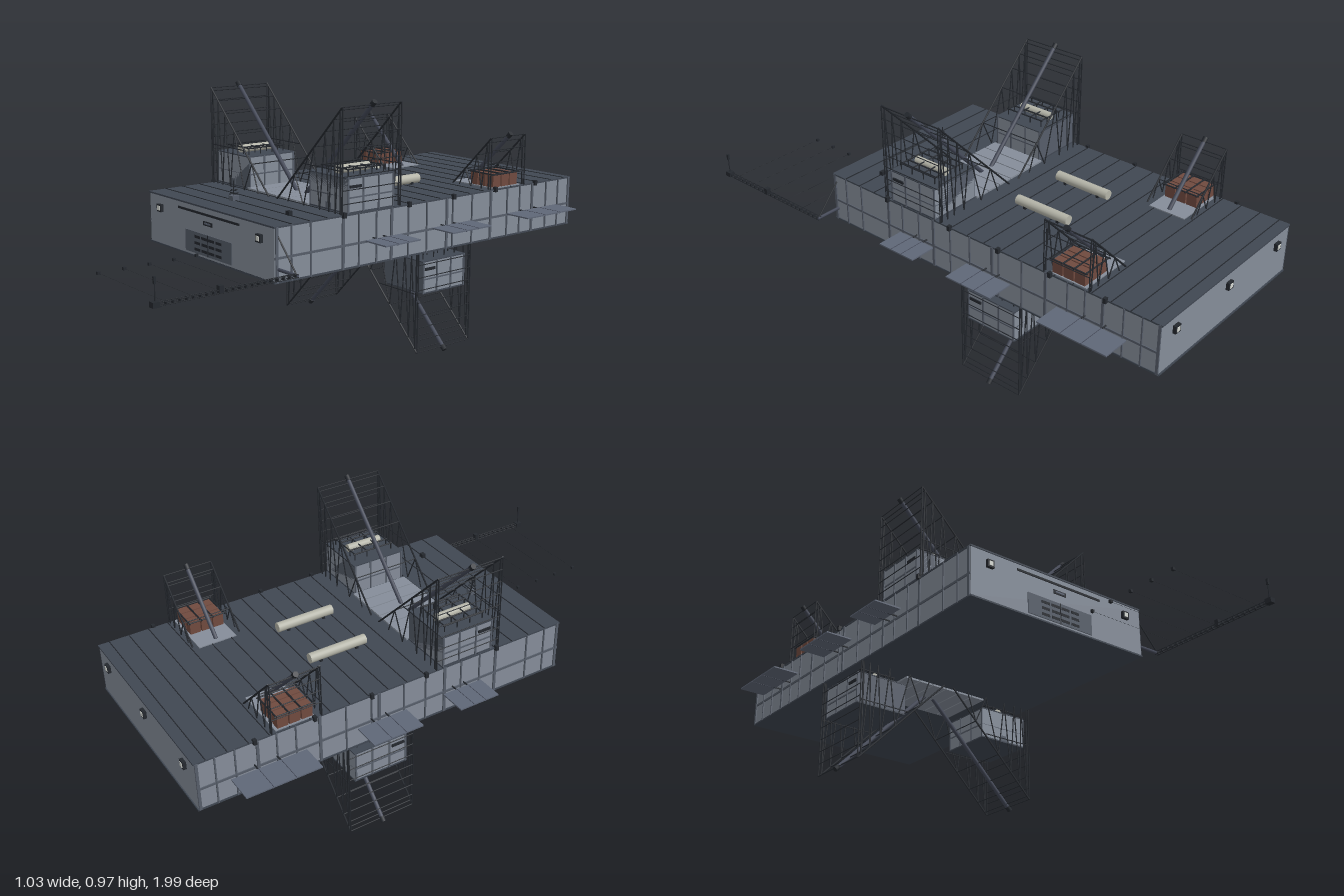
import * as THREE from 'three';

const mat = (name, color, side = THREE.FrontSide) => {
  const m = new THREE.MeshStandardMaterial({ color, side });
  m.name = name;
  return m;
};

export function createModel() {
  const M = {
    hull: mat('hull grey', 0x858d99),
    deck: mat('deck slate', 0x404752),
    frame: mat('frame black', 0x24282e),
    wing: mat('wing blue grey', 0x5f6777),
    mast: mat('mast grey', 0x434857),
    vent: mat('vent grey', 0x565d69),
    tank: mat('tank beige', 0xb4b4a8),
    rust: mat('rust cargo', 0x704a3f),
    lamp: mat('lamp white', 0xd5d8d2),
  };
  const root = new THREE.Group();
  root.name = 'orbitalPlatform';

  const group = (name) => {
    const g = new THREE.Group();
    g.name = name;
    root.add(g);
    return g;
  };
  // Box given by its low and high limits on each axis
  const box = (g, name, m, x0, x1, y0, y1, z0, z1) => {
    const mesh = new THREE.Mesh(new THREE.BoxGeometry(Math.abs(x1 - x0), Math.abs(y1 - y0), Math.abs(z1 - z0)), m);
    mesh.position.set((x0 + x1) / 2, (y0 + y1) / 2, (z0 + z1) / 2);
    mesh.name = name;
    g.add(mesh);
    return mesh;
  };
  // Round bar between two points
  const bar = (g, name, m, a, b, r, sides = 5) => {
    const A = new THREE.Vector3(...a), B = new THREE.Vector3(...b);
    const d = B.clone().sub(A);
    const mesh = new THREE.Mesh(new THREE.CylinderGeometry(r, r, d.length(), sides), m);
    mesh.position.copy(A).add(B).multiplyScalar(0.5);
    mesh.quaternion.setFromUnitVectors(new THREE.Vector3(0, 1, 0), d.normalize());
    mesh.name = name;
    g.add(mesh);
  };

  // Main hull with dark deck and keel plates
  const hull = group('hull');
  box(hull, 'hullBody', M.hull, -0.387, 0.387, 0.394, 0.574, -0.978, 0.478);
  box(hull, 'topDeck', M.deck, -0.39, 0.39, 0.574, 0.58, -0.982, 0.481);
  box(hull, 'keelPlate', M.deck, -0.39, 0.39, 0.388, 0.394, -0.982, 0.481);
  for (let i = 0; i < 19; i++) {
    const z = 0.41 - i * 0.075;
    box(hull, 'deckSeam', M.frame, -0.39, 0.39, 0.58, 0.582, z - 0.0015, z + 0.0015);
  }

  // Ribs, stringers and lugs along both sides
  const ribs = [0.47, 0.41, 0.33, 0.19, 0.12, 0.04, -0.03, -0.11, -0.2, -0.3, -0.33, -0.43, -0.53, -0.62, -0.69, -0.76, -0.84, -0.91, -0.973];
  for (const s of [-1, 1]) {
    ribs.forEach((z, i) => {
      const w = i % 3 === 0 ? 0.005 : 0.0025;
      box(hull, 'sideRib', M.vent, s * 0.385, s * 0.392, 0.39, 0.578, z - w, z + w);
    });
    box(hull, 'sideStringer', M.vent, s * 0.385, s * 0.391, 0.469, 0.477, -0.978, 0.478);
    for (const z of [0.19, -0.11, -0.33, -0.55, -0.77])
      box(hull, 'sideLug', M.frame, s * 0.386, s * 0.4, 0.57, 0.589, z - 0.006, z + 0.006);
  }

  // Front face: slot, plaque and ventilation panel
  const front = group('frontDetails');
  box(front, 'hangarSlot', M.frame, -0.19, 0.19, 0.548, 0.556, 0.477, 0.481);
  box(front, 'plaque', M.frame, -0.028, 0.028, 0.513, 0.528, 0.477, 0.481);
  box(front, 'plaqueInset', M.wing, -0.02, 0.02, 0.518, 0.524, 0.48, 0.482);
  box(front, 'ventPanel', M.vent, -0.145, 0.145, 0.402, 0.48, 0.477, 0.481);
  for (const y of [0.417, 0.44, 0.463]) for (const x of [-0.067, -0.022, 0.022, 0.067])
    box(front, 'ventSlot', M.frame, x - 0.018, x + 0.018, y - 0.005, y + 0.005, 0.48, 0.482);
  box(front, 'ventSplit', M.frame, -0.002, 0.002, 0.402, 0.48, 0.48, 0.482);

  // Floodlights at both ends
  const lights = group('floodlights');
  const flood = (x, z, d) => {
    box(lights, 'lightHousing', M.frame, x - 0.014, x + 0.014, 0.515, 0.543, z, z + d * 0.012);
    box(lights, 'lightLens', M.lamp, x - 0.008, x + 0.008, 0.521, 0.537, z + d * 0.012, z + d * 0.014);
  };
  for (const x of [-0.31, 0.31]) flood(x, 0.478, 1);
  for (const x of [-0.31, 0, 0.31]) flood(x, -0.978, -1);

  // Thin side wings with hinge arms
  const wings = group('wings');
  for (const s of [-1, 1]) for (const [z0, z1] of [[-0.87, -0.595], [-0.4, -0.205], [-0.05, 0.11]]) {
    box(wings, 'wingPanel', M.wing, s * 0.413, s * 0.517, 0.48, 0.485, z0, z1);
    for (const t of [0.35, 0.65]) {
      const z = z0 + (z1 - z0) * t;
      bar(wings, 'wingHinge', M.frame, [s * 0.385, 0.482, z], [s * 0.43, 0.482, z], 0.003);
      box(wings, 'wingSeam', M.mast, s * 0.413, s * 0.517, 0.479, 0.486, z - 0.001, z + 0.001);
    }
  }

  // Triangular lattice tower with a diagonal mast; d = up or down
  const tower = (s, d, zc, half, baseX) => {
    const g = group('latticeTower');
    const y0 = d > 0 ? 0.58 : 0.388;
    const P = (x, h, z) => [s * x, y0 + d * h, zc + z];
    const H = 0.39 - baseX;
    bar(g, 'diagonalMast', M.mast, P(baseX, 0.003, 0), P(0.395, 0.395 - baseX, 0), 0.008, 8);
    bar(g, 'mastTip', M.frame, P(0.388, 0.388 - baseX, 0), P(0.402, 0.402 - baseX, 0), 0.01, 8);
    const tops = H > 0.3 ? [0.13, 0.24, 0.3, 0.345, 0.38] : [0.26, 0.32, 0.37];
    const feet = H > 0.3 ? [0.09, 0.18, 0.27, 0.32, 0.355, 0.385] : [0.23, 0.29, 0.345, 0.385];
    for (const z of [-half, half]) {
      bar(g, 'slopeChord', M.frame, P(baseX, 0, z), P(0.39, H, z), 0.0035);
      bar(g, 'outerPost', M.frame, P(0.392, 0, z), P(0.392, H, z), 0.0025);
      bar(g, 'innerPost', M.frame, P(0.38, 0, z), P(0.38, H - 0.01, z), 0.002);
      tops.forEach((x, i) => {
        bar(g, 'lattice', M.frame, P(feet[i], 0, z), P(x, x - baseX, z), 0.0024);
        bar(g, 'lattice', M.frame, P(x, x - baseX, z), P(feet[i + 1], 0, z), 0.0024);
      });
      if (H > 0.3) bar(g, 'lattice', M.frame, P(0.18, 0.15, z), P(0.392, 0.15, z), 0.002);
    }
    // Rungs joining both side frames
    for (let h = H; h > 0.03; h -= 0.047)
      bar(g, 'outerRung', M.frame, P(0.392, h, -half), P(0.392, h, half), 0.0018);
    for (const x of tops)
      bar(g, 'slopeRung', M.frame, P(x, x - baseX, -half), P(x, x - baseX, half), 0.002);
  };

  // Equipment pod; y = floor level
  const pod = (s, y, zc) => {
    const g = group('equipmentPod');
    const z0 = zc - 0.105, z1 = zc + 0.105, top = y + 0.12;
    box(g, 'podBody', M.hull, s * 0.184, s * 0.386, y, top - 0.003, z0, z1);
    box(g, 'podRoof', M.deck, s * 0.182, s * 0.388, top - 0.003, top + 0.001, z0 - 0.002, z1 + 0.002);
    box(g, 'podFloor', M.deck, s * 0.182, s * 0.388, y - 0.002, y + 0.003, z0 - 0.002, z1 + 0.002);
    for (const z of [z0 + 0.003, zc - 0.035, zc + 0.035, z1 - 0.003])
      box(g, 'podRib', M.vent, s * 0.181, s * 0.39, y, top, z - 0.003, z + 0.003);
    box(g, 'podBand', M.vent, s * 0.182, s * 0.389, y + 0.05, y + 0.055, z0, z1);
    box(g, 'podDoor', M.vent, s * 0.272, s * 0.302, y + 0.003, y + 0.025, z1, z1 + 0.002);
    box(g, 'podWindow', M.frame, s * 0.386, s * 0.391, y + 0.085, y + 0.095, zc + 0.045, zc + 0.095);
    // Roof tank inside a handrail cage
    bar(g, 'roofTank', M.tank, [s * 0.29, top + 0.015, zc - 0.07], [s * 0.29, top + 0.015, zc + 0.07], 0.015, 16);
    for (const x of [0.22, 0.255, 0.325, 0.36]) {
      bar(g, 'roofRail', M.frame, [s * x, top + 0.025, zc - 0.085], [s * x, top + 0.025, zc + 0.085], 0.003);
      for (const z of [-0.08, -0.027, 0.027, 0.08])
        bar(g, 'roofPost', M.frame, [s * x, top, zc + z], [s * x, top + 0.025, zc + z], 0.0025);
    }
    for (const z of [-0.08, -0.027, 0.027, 0.08])
      bar(g, 'roofCrossRail', M.frame, [s * 0.22, top + 0.025, zc + z], [s * 0.36, top + 0.025, zc + z], 0.0025);
  };

  // Rust coloured cargo stacks on the rear deck
  const cargo = (s) => {
    const g = group('cargoStack');
    box(g, 'cargoPlate', M.hull, s * 0.175, s * 0.385, 0.58, 0.584, -0.69, -0.545);
    for (let i = 0; i < 3; i++) for (let j = 0; j < 3; j++) {
      const x = 0.265 + i * 0.04, z = -0.68 + j * 0.045;
      box(g, 'cargoCrate', M.rust, s * x, s * (x + 0.035), 0.583, 0.63, z, z + 0.04);
    }
    for (const z of [-0.683, -0.637, -0.592, -0.546])
      bar(g, 'cargoStrap', M.frame, [s * 0.255, 0.634, z], [s * 0.385, 0.634, z], 0.003);
    for (const x of [0.26, 0.382])
      bar(g, 'cargoRail', M.frame, [s * x, 0.634, -0.69], [s * x, 0.634, -0.54], 0.003);
  };

  for (const s of [-1, 1]) {
    tower(s, 1, 0.065, 0.132, 0.025);
    tower(s, 1, -0.615, 0.092, 0.195);
    tower(s, -1, -0.293, 0.132, 0.02);
    pod(s, 0.582, 0.065);
    pod(s, 0.236, -0.293);
    cargo(s);
  }

  // Light plates between the towers, above and below
  const bays = group('bayPlates');
  for (const [y, zc] of [[0.5835, 0.065], [0.3845, -0.293]]) for (let i = 0; i < 6; i++) {
    const x = -0.182 + i * 0.061;
    box(bays, 'bayPlate', M.hull, x, x + 0.057, y - 0.0035, y + 0.0035, zc - 0.115, zc + 0.115);
  }

  // Long deck tanks
  const tanks = group('deckTanks');
  for (const s of [-1, 1]) {
    bar(tanks, 'deckTank', M.tank, [s * 0.115, 0.6, -0.41], [s * 0.115, 0.6, -0.185], 0.018, 20);
    for (const z of [-0.37, -0.225]) box(tanks, 'tankSaddle', M.frame, s * 0.1, s * 0.13, 0.58, 0.59, z - 0.005, z + 0.005);
  }

  // Antenna cluster on the forward deck
  const ant = group('antennaCluster');
  box(ant, 'antennaBase', M.vent, -0.064, -0.036, 0.58, 0.598, 0.32, 0.348);
  bar(ant, 'antennaMast', M.frame, [-0.05, 0.59, 0.334], [-0.05, 0.652, 0.334], 0.002);
  for (const [y, w] of [[0.605, 0.02], [0.617, 0.015], [0.63, 0.01]]) {
    bar(ant, 'antennaArm', M.frame, [-0.05 - w, y, 0.334], [-0.05 + w, y, 0.334], 0.002);
    bar(ant, 'antennaArm', M.frame, [-0.05, y, 0.334 - w], [-0.05, y, 0.334 + w], 0.002);
  }
  box(ant, 'deckHatch', M.frame, 0.265, 0.285, 0.58, 0.595, 0.325, 0.34);

  // Docking boom with ladder truss, end post and marker buoys
  const boom = group('dockingBoom');
  bar(boom, 'boomArm', M.mast, [0.38, 0.436, 0.465], [0.492, 0.436, 0.465], 0.006, 6);
  bar(boom, 'boomBrace', M.frame, [0.385, 0.55, 0.465], [0.487, 0.438, 0.465], 0.003);
  for (const x of [0.48, 0.492]) for (const y of [0.431, 0.441])
    bar(boom, 'boomRail', M.frame, [x, y, 0.46], [x, y, 0.995], 0.0015);
  for (let i = 0; i < 22; i++) {
    const z = 0.47 + i * 0.024;
    box(boom, 'boomTie', M.frame, 0.479, 0.493, 0.43, 0.442, z - 0.002, z + 0.002);
  }
  box(boom, 'boomEnd', M.frame, 0.475, 0.497, 0.428, 0.446, 0.975, 1.0);
  bar(boom, 'endPost', M.frame, [0.486, 0.44, 0.987], [0.486, 0.52, 0.987], 0.002);
  box(boom, 'endLamp', M.frame, 0.482, 0.49, 0.5, 0.522, 0.983, 0.991);
  box(boom, 'boomNode', M.frame, 0.478, 0.496, 0.432, 0.456, 0.75, 0.766);
  for (const z of [0.57, 0.66, 0.755, 0.85, 0.945]) {
    box(boom, 'markerBuoy', M.frame, 0.06, 0.07, 0.431, 0.441, z - 0.005, z + 0.005);
    bar(boom, 'guideLine', M.frame, [0.065, 0.436, z], [0.48, 0.436, z], 0.0005, 3);
  }
  return root;
}
